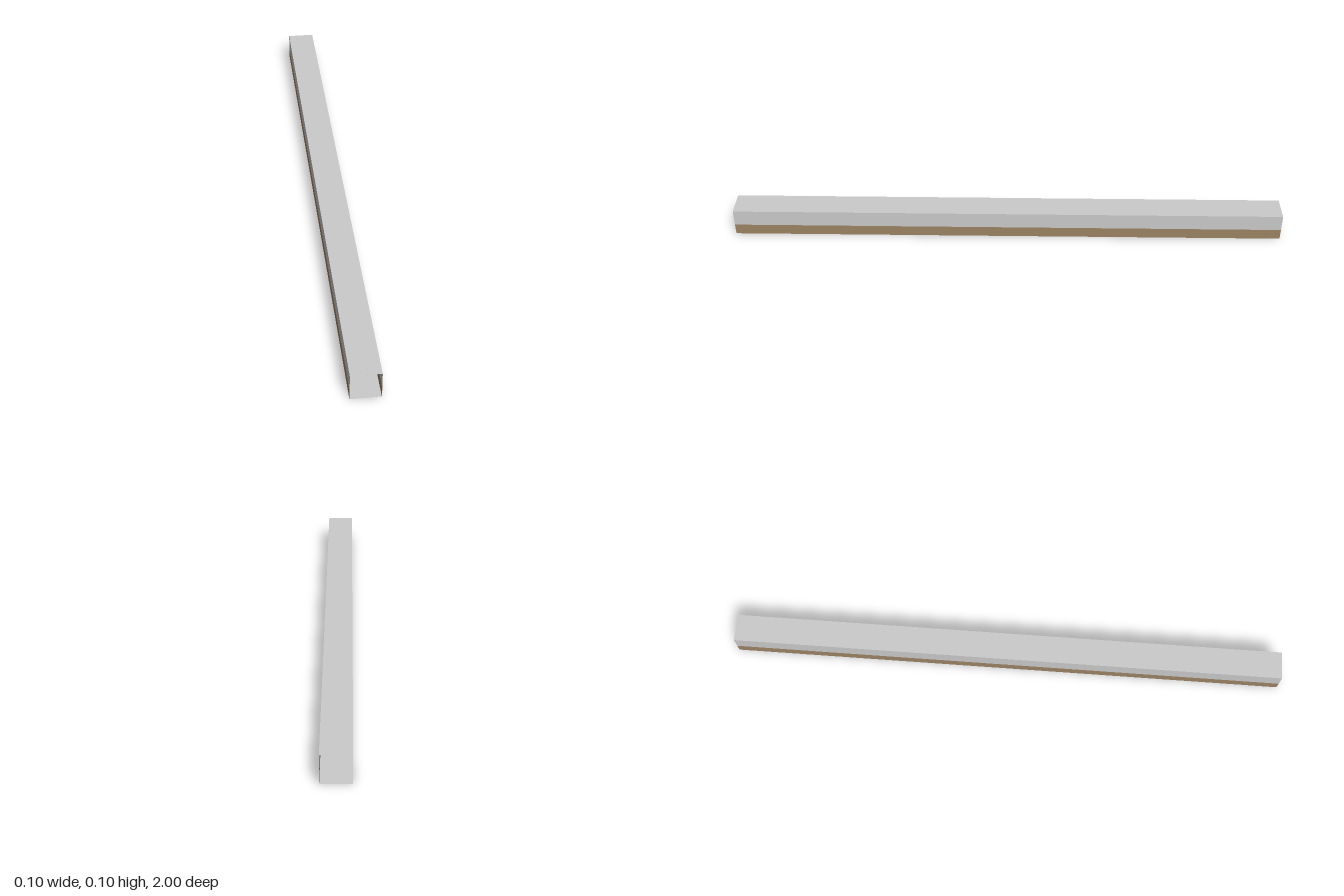
import * as THREE from 'three';

const LENGTH = 2, WIDTH = 0.1, HEIGHT = 0.1;
const PANEL_HEIGHT = 0.04, THIN = 0.0006;

export function createModel() {
  const corridor = new THREE.Group();
  corridor.name = 'corridor';

  const grey = new THREE.MeshStandardMaterial({ color: 0xcccccc, side: THREE.DoubleSide });
  const brown = new THREE.MeshStandardMaterial({ color: 0x9c8464 });

  function add(name, geometry, material, x, y) {
    const mesh = new THREE.Mesh(geometry, material);
    mesh.name = name;
    mesh.position.set(x, y, 0);
    corridor.add(mesh);
    return mesh;
  }

  // Floor and ceiling sheets; both ends of the corridor stay open
  const slab = new THREE.PlaneGeometry(WIDTH, LENGTH);
  add('floor', slab, grey, 0, 0).rotation.x = -Math.PI / 2;
  add('ceiling', slab, grey, 0, HEIGHT).rotation.x = Math.PI / 2;

  // Side walls, each with a thin panel wrapped over its lower part
  const wall = new THREE.PlaneGeometry(LENGTH, HEIGHT);
  const panel = new THREE.BoxGeometry(THIN, PANEL_HEIGHT, LENGTH);
  for (const [side, s] of [['left', 1], ['right', -1]]) {
    add(side + 'Wall', wall, grey, s * WIDTH / 2, HEIGHT / 2).rotation.y = -s * Math.PI / 2;
    add(side + 'WallPanel', panel, brown, s * WIDTH / 2, PANEL_HEIGHT / 2);
  }

  // Narrow strip along the middle of the ceiling, just beneath it
  add('ceilingStrip', new THREE.BoxGeometry(0.02, THIN, LENGTH), grey, 0, HEIGHT - THIN);

  return corridor;
}
